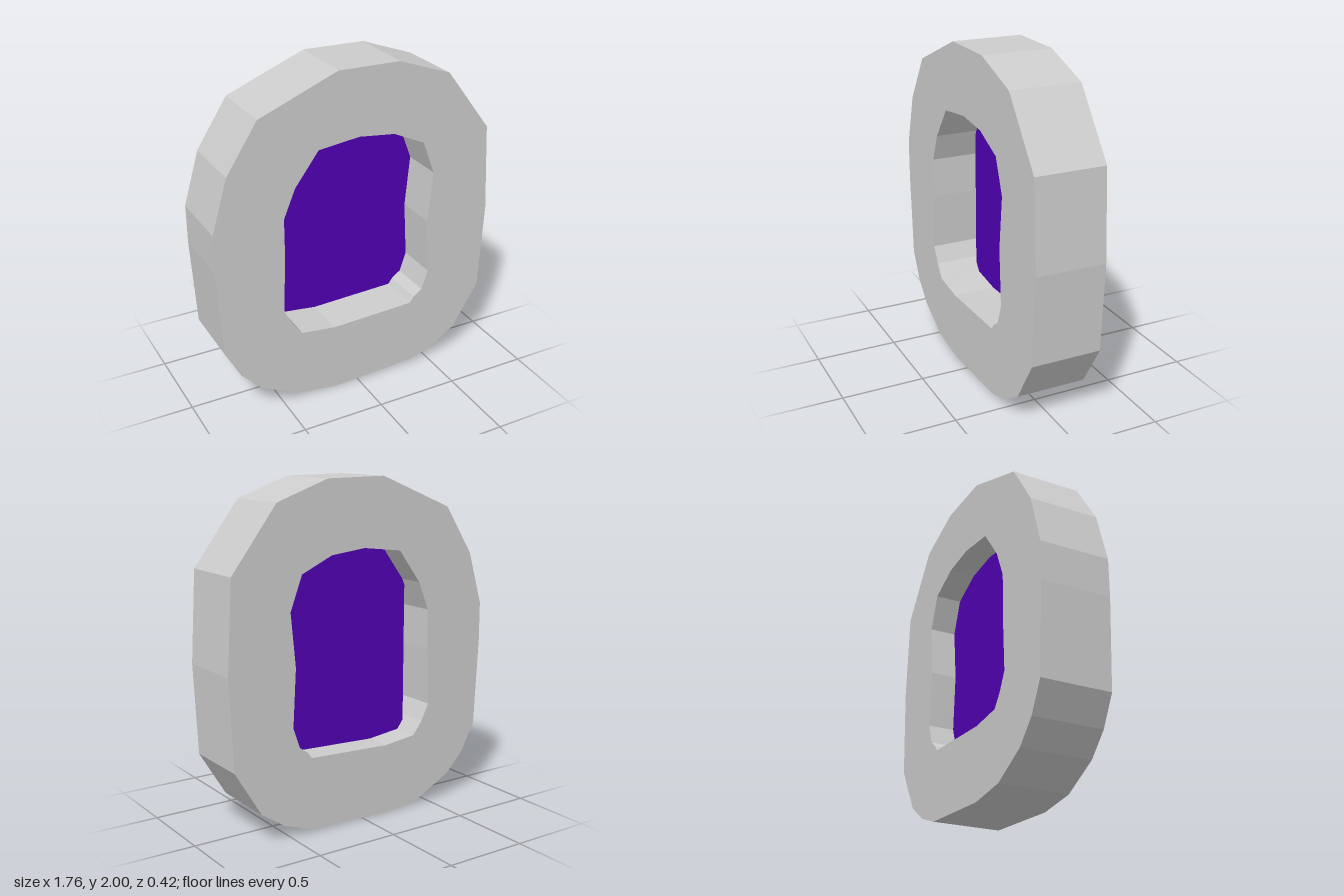
import * as THREE from 'three';

const frameGrey = new THREE.MeshStandardMaterial({ color: 0xcccccc });
frameGrey.name = 'frame grey';
frameGrey.flatShading = true;
const panelPurple = new THREE.MeshStandardMaterial({ color: 0x5000b3, side: THREE.DoubleSide });
panelPurple.name = 'panel purple';

const points = (list) => list.map(([x, y]) => new THREE.Vector2(x, y));

export function createModel() {
  const group = new THREE.Group();
  group.name = 'framedPanel';

  // Irregular rounded outline of the frame, clockwise
  const outline = new THREE.Shape(points([
    [-0.13, 2.0], [0.245, 1.995], [0.567, 1.88], [0.847, 1.51], [0.878, 0.98], [0.853, 0.45],
    [0.69, 0.18], [0.54, 0.08], [0.38, 0.025], [-0.16, 0.0], [-0.41, 0.035], [-0.64, 0.155],
    [-0.76, 0.28], [-0.85, 0.45], [-0.878, 0.98], [-0.878, 1.21], [-0.785, 1.525], [-0.6, 1.81],
  ]));

  // Opening through the frame, counter-clockwise so its walls face inward
  outline.holes.push(new THREE.Path(points([
    [-0.25, 1.575], [-0.395, 1.38], [-0.465, 1.21], [-0.465, 0.97], [-0.48, 0.63],
    [-0.43, 0.53], [-0.37, 0.45], [-0.16, 0.425], [0.36, 0.445], [0.385, 0.48],
    [0.44, 0.52], [0.48, 0.64], [0.46, 0.98], [0.49, 1.29], [0.415, 1.49], [0.22, 1.58], [0, 1.605],
  ])));

  const depth = 0.418;
  const frameGeometry = new THREE.ExtrudeGeometry(outline, { depth, bevelEnabled: false });
  frameGeometry.translate(0, 0, -depth / 2);
  const frame = new THREE.Mesh(frameGeometry, frameGrey);
  frame.name = 'frame';
  group.add(frame);

  // Flat panel set into the opening, leaving a gap on one side
  const left = -0.41, right = 0.53, bottom = 0.38, top = 1.65;
  const panel = new THREE.Mesh(new THREE.PlaneGeometry(right - left, top - bottom), panelPurple);
  panel.position.set((left + right) / 2, (bottom + top) / 2, -0.05);
  panel.name = 'panel';
  group.add(panel);

  return group;
}
